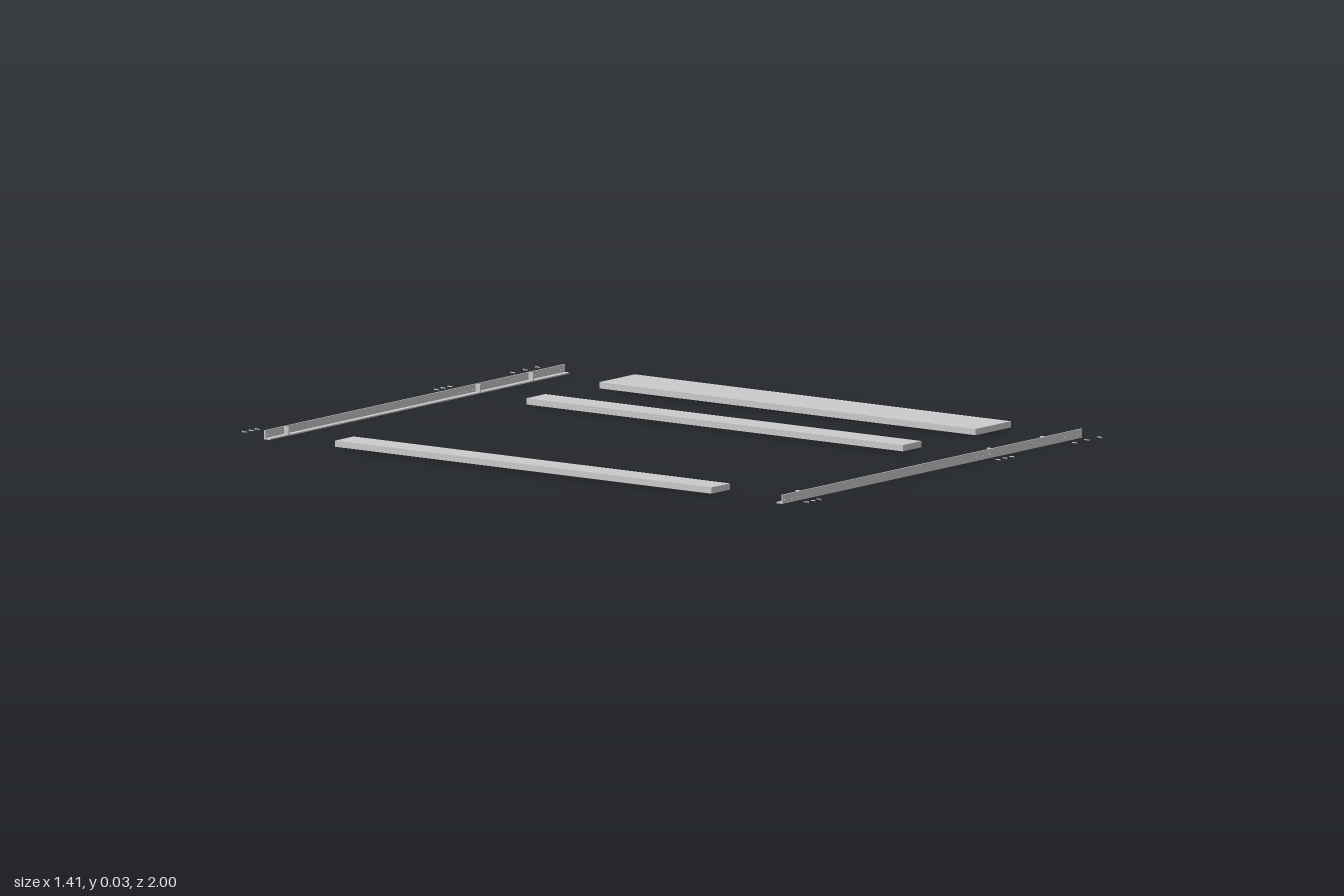
import * as THREE from 'three';

const material = new THREE.MeshStandardMaterial({ color: 0xcccccc });

const HALF = 0.705;       // half length of the rails
const HEIGHT = 0.026;     // rail height
const WALL = 0.004;       // rail sheet thickness
const OUTER = 0.916;      // outer face of the rails
const INNER = 0.896;      // inner edge of the rails
const SCREW_Y = 0.012;

// each slat: x range and the x positions of its screws
const slats = [
  { name: 'narrowSlatRight', x0: -0.705, x1: -0.618, screws: [-0.695, -0.663, -0.635] },
  { name: 'narrowSlatMiddle', x0: 0.196, x1: 0.284, screws: [0.208, 0.24, 0.272] },
  { name: 'wideSlat', x0: 0.539, x1: 0.705, screws: [0.568, 0.627, 0.685] },
];
const stops = [-0.615, 0.287, 0.536];

function add(parent, name, geometry, x = 0, y = 0, z = 0) {
  const mesh = new THREE.Mesh(geometry, material);
  mesh.name = name;
  mesh.position.set(x, y, z);
  parent.add(mesh);
  return mesh;
}

function box(parent, name, x0, x1, y0, y1, z0, z1) {
  return add(parent, name, new THREE.BoxGeometry(x1 - x0, y1 - y0, z1 - z0),
    (x0 + x1) / 2, (y0 + y1) / 2, (z0 + z1) / 2);
}

// angle rail: drilled upright web, bottom flange and small stops beside the slats
function makeRail() {
  const rail = new THREE.Group();
  const shape = new THREE.Shape([
    new THREE.Vector2(-HALF, 0), new THREE.Vector2(HALF, 0),
    new THREE.Vector2(HALF, HEIGHT), new THREE.Vector2(-HALF, HEIGHT),
  ]);
  for (const { screws } of slats) {
    for (const x of screws) {
      shape.holes.push(new THREE.Path().absarc(x, SCREW_Y, 0.002, 0, Math.PI * 2, true));
    }
  }
  const web = new THREE.ExtrudeGeometry(shape, { depth: WALL, bevelEnabled: false, curveSegments: 6 });
  add(rail, 'railWeb', web, 0, 0, OUTER - WALL);
  box(rail, 'railFlange', -HALF, HALF, 0, WALL, INNER, OUTER - WALL);
  for (const x of stops) {
    box(rail, 'railStop', x - 0.002, x + 0.002, WALL, HEIGHT, INNER, OUTER - WALL);
  }
  return rail;
}

// screws laid out beyond the rail, heads outward
function makeScrews() {
  const group = new THREE.Group();
  const shank = new THREE.CylinderGeometry(0.0015, 0.0015, 0.012, 10).rotateX(Math.PI / 2);
  const head = new THREE.CylinderGeometry(0.003, 0.0015, 0.003, 12).rotateX(Math.PI / 2);
  for (const { screws } of slats) {
    for (const x of screws) {
      add(group, 'screwShank', shank, x, SCREW_Y, 0.991);
      add(group, 'screwHead', head, x, SCREW_Y, 0.9985);
    }
  }
  return group;
}

export function createModel() {
  const model = new THREE.Group();
  model.name = 'slattedFrame';

  // slats
  for (const { name, x0, x1 } of slats) box(model, name, x0, x1, 0.004, 0.022, -0.665, 0.665);

  // front and back rails with their screws; the back set is mirrored
  for (const [side, sign] of [['front', 1], ['back', -1]]) {
    const rail = makeRail();
    rail.name = side + 'Rail';
    const screws = makeScrews();
    screws.name = side + 'Screws';
    rail.scale.z = screws.scale.z = sign;
    model.add(rail, screws);
  }
  return model;
}
